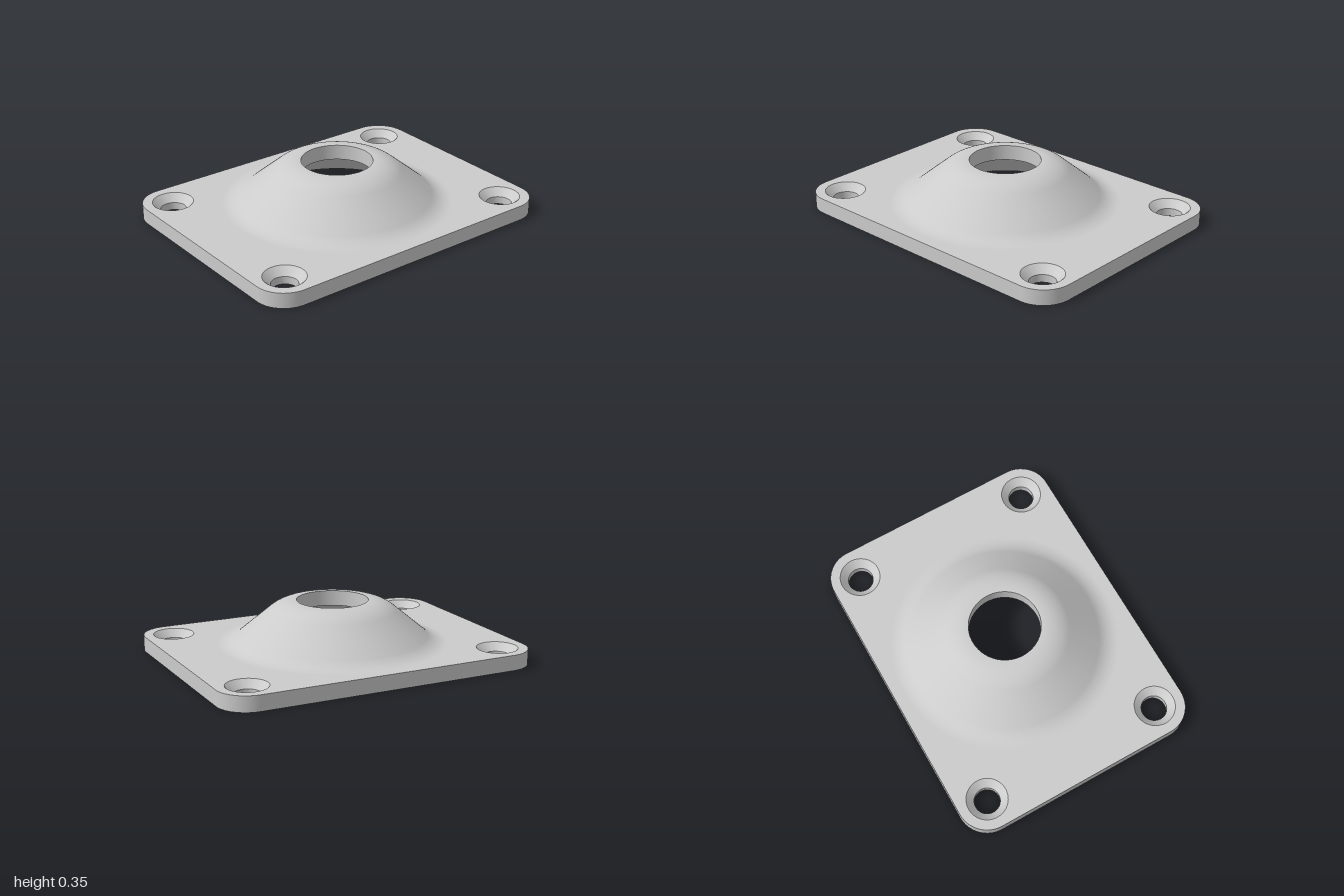
import * as THREE from 'three';
import { mergeGeometries, toCreasedNormals } from 'three/addons/utils/BufferGeometryUtils.js';

const W = 1, D = 0.767, T = 0.095;       // plate half width, half depth, sheet thickness
const CORNER = 0.185;                    // corner radius, concentric with the screw holes
const SCREW = 0.078, SINK = 0.125;       // screw hole and countersink radii
const DOME = 0.72, BORE = 0.218;         // dome footprint and centre hole radii
const SIGNS = [[1, 1], [-1, 1], [-1, -1], [1, -1]];

// Points along an arc in the plane
function arc(cx, cy, r, from, to, n) {
  return Array.from({ length: n + 1 }, (_, i) => {
    const a = from + (to - from) * i / n;
    return new THREE.Vector2(cx + r * Math.cos(a), cy + r * Math.sin(a));
  });
}

const circle = (cx, cy, r, n) => arc(cx, cy, r, 0, Math.PI * 2, n).slice(0, n);

// Rounded rectangle outline, counterclockwise
function outline() {
  return SIGNS.flatMap(([sx, sy], i) =>
    arc(sx * (W - CORNER), sy * (D - CORNER), CORNER, i * Math.PI / 2, (i + 1) * Math.PI / 2, 16));
}

// Flat face of the plate with its five holes
function plateFace(screwRadius) {
  const shape = new THREE.Shape(outline());
  shape.holes.push(new THREE.Path(circle(0, 0, DOME, 96)));
  for (const [sx, sy] of SIGNS)
    shape.holes.push(new THREE.Path(circle(sx * (W - CORNER), sy * (D - CORNER), screwRadius, 48)));
  return new THREE.ShapeGeometry(shape);
}

// Outer edge of the plate
function plateRim() {
  const pts = outline(), pos = [];
  pts.forEach((p, i) => {
    const q = pts[(i + 1) % pts.length];
    pos.push(p.x, 0, -p.y, q.x, 0, -q.y, q.x, T, -q.y);
    pos.push(p.x, 0, -p.y, q.x, T, -q.y, p.x, T, -p.y);
  });
  return new THREE.BufferGeometry().setAttribute('position', new THREE.Float32BufferAttribute(pos, 3));
}

function positionsOnly(g) {
  const out = g.index ? g.toNonIndexed() : g;
  out.deleteAttribute('normal');
  out.deleteAttribute('uv');
  return out;
}

export function createModel() {
  const group = new THREE.Group();
  const material = new THREE.MeshStandardMaterial({ color: 0xcccccc });
  const add = (name, geometry) => {
    const mesh = new THREE.Mesh(toCreasedNormals(geometry, 0.5), material);
    mesh.name = name;
    group.add(mesh);
    return mesh;
  };

  // Base plate: top, underside and rim
  add('basePlate', mergeGeometries([
    plateFace(SINK).rotateX(-Math.PI / 2).translate(0, T, 0),
    plateFace(SCREW).rotateX(Math.PI / 2),
    plateRim(),
  ].map(positionsOnly)));

  // Dome: flared foot, 40 degree slope and rounded crown, as a sheet of even thickness
  const slope = THREE.MathUtils.degToRad(40), down = -Math.PI / 2, up = Math.PI / 2;
  const foot = r => arc(0.70, 0.285, r, down, down - slope, 12);
  const crown = r => arc(0.225, 0.095, r, up - slope, up, 12);
  const outer = [new THREE.Vector2(DOME, T), ...foot(0.19), ...crown(0.26), new THREE.Vector2(BORE, 0.355)];
  const inner = [new THREE.Vector2(DOME, 0), ...foot(0.285), ...crown(0.165), new THREE.Vector2(BORE, 0.26)];
  add('dome', new THREE.LatheGeometry([...outer, ...inner.reverse()], 96));

  // Countersunk screw holes
  const sinkProfile = [[SINK, T], [SCREW, T - (SINK - SCREW)], [SCREW, 0]].map(p => new THREE.Vector2(...p));
  for (const [sx, sz] of SIGNS)
    add('screwHole', new THREE.LatheGeometry(sinkProfile, 48))
      .position.set(sx * (W - CORNER), 0, sz * (D - CORNER));

  return group;
}
